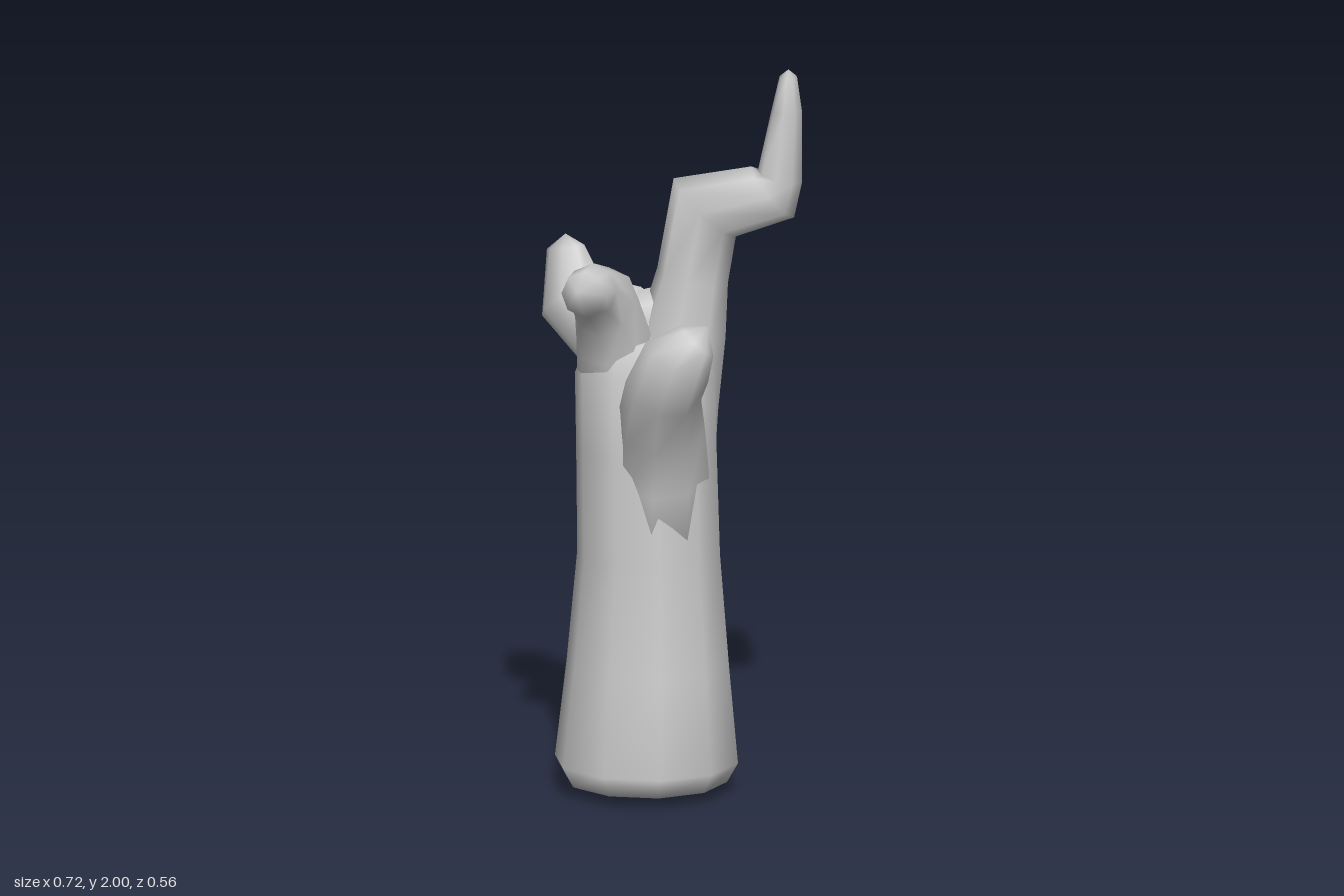
import * as THREE from 'three';

const material = new THREE.MeshStandardMaterial({ color: 0xcccccc });
const V = (a) => new THREE.Vector3(a[0], a[1], a[2]);

// Skins rings [x, y, z, halfAcross, halfAlongRef] that follow a bent path;
// each ring is mitred between its neighbouring segments. Both ends are capped.
function limb(name, rings, ref, sides, start, end) {
  const centers = rings.map(V);
  const path = [V(start), ...centers, V(end)];
  const refV = V(ref);
  const pos = [];
  const index = [];
  rings.forEach((r, i) => {
    const into = path[i + 1].clone().sub(path[i]).normalize();
    const out = path[i + 2].clone().sub(path[i + 1]).normalize();
    if (i === 0) into.copy(out);
    if (i === rings.length - 1) out.copy(into);
    const t = into.add(out).normalize();
    const u = refV.clone().cross(t).normalize();
    const v = t.clone().cross(u);
    for (let j = 0; j < sides; j++) {
      const a = (j / sides) * Math.PI * 2;
      const p = centers[i].clone()
        .addScaledVector(u, r[3] * Math.cos(a))
        .addScaledVector(v, r[4] * Math.sin(a));
      pos.push(p.x, p.y, p.z);
    }
  });
  const first = rings.length * sides;
  const last = (rings.length - 1) * sides;
  pos.push(...start, ...end);
  for (let j = 0; j < sides; j++) {
    const k = (j + 1) % sides;
    for (let i = 0; i < rings.length - 1; i++) {
      const a = i * sides;
      const b = a + sides;
      index.push(a + j, a + k, b + k, a + j, b + k, b + j);
    }
    index.push(first, k, j, first + 1, last + j, last + k);
  }
  const geometry = new THREE.BufferGeometry();
  geometry.setAttribute('position', new THREE.Float32BufferAttribute(pos, 3));
  geometry.setIndex(index);
  geometry.computeVertexNormals();
  const mesh = new THREE.Mesh(geometry, material);
  mesh.name = name;
  return mesh;
}

export function createModel() {
  const group = new THREE.Group();
  group.name = 'deadTree';

  // Trunk: flared foot with a shallow pointed base, slight waist, low crown
  group.add(limb('trunk', [
    [-0.058, 0.03, -0.04, 0.22, 0.215],
    [-0.058, 0.085, -0.04, 0.25, 0.25],
    [-0.055, 0.35, -0.045, 0.222, 0.22],
    [-0.053, 0.66, -0.045, 0.195, 0.19],
    [-0.06, 0.95, -0.05, 0.192, 0.187],
    [-0.065, 1.15, -0.06, 0.192, 0.175],
    [-0.065, 1.22, -0.08, 0.165, 0.14],
  ], [0, 0, 1], 10, [-0.058, 0, -0.04], [-0.065, 1.25, -0.1]));

  // Tall crooked branch: up, sideways, then up to a blunt point
  group.add(limb('tallBranch', [
    [-0.04, 0.8, -0.075, 0.155, 0.14],
    [-0.005, 1.08, -0.1, 0.135, 0.125],
    [0.03, 1.27, -0.11, 0.118, 0.108],
    [0.057, 1.42, -0.105, 0.098, 0.085],
    [0.09, 1.61, -0.105, 0.115, 0.075],
    [0.275, 1.66, -0.11, 0.09, 0.07],
    [0.295, 1.705, -0.11, 0.062, 0.065],
    [0.313, 1.89, -0.115, 0.041, 0.055],
    [0.316, 1.98, -0.12, 0.024, 0.036],
  ], [0, 0, 1], 8, [-0.04, 0.75, -0.075], [0.316, 2, -0.12]));

  // Front branch on the right side, bending forward
  group.add(limb('frontRightBranch', [
    [-0.13, 1.05, -0.06, 0.11, 0.12],
    [-0.145, 1.25, -0.04, 0.13, 0.105],
    [-0.16, 1.37, 0.035, 0.11, 0.085],
    [-0.18, 1.425, 0.125, 0.075, 0.072],
    [-0.188, 1.435, 0.205, 0.062, 0.062],
  ], [1, 0, 0], 8, [-0.13, 1.0, -0.06], [-0.2, 1.45, 0.245]));

  // Front stub on the left side, swelling out of the trunk face
  group.add(limb('frontLeftStub', [
    [-0.02, 0.68, -0.03, 0.15, 0.13],
    [-0.01, 0.9, 0.0, 0.155, 0.13],
    [0.0, 1.05, 0.07, 0.125, 0.12],
    [0.025, 1.17, 0.175, 0.095, 0.105],
    [0.068, 1.26, 0.208, 0.073, 0.1],
    [0.122, 1.32, 0.202, 0.05, 0.06],
  ], [1, 0, 0], 8, [-0.02, 0.6, -0.03], [0.15, 1.36, 0.2]));

  // Short thick stub at the back on the right side
  group.add(limb('backStub', [
    [-0.06, 1.15, -0.1, 0.17, 0.115],
    [-0.17, 1.265, -0.135, 0.135, 0.11],
    [-0.288, 1.325, -0.185, 0.098, 0.078],
    [-0.308, 1.455, -0.212, 0.052, 0.048],
  ], [0, 0, 1], 8, [-0.04, 1.13, -0.1], [-0.31, 1.49, -0.22]));

  // Saddle where the upper branches run together
  group.add(limb('branchSaddle', [
    [-0.16, 1.25, -0.11, 0.11, 0.09],
    [-0.07, 1.27, -0.12, 0.1, 0.085],
    [0.03, 1.29, -0.11, 0.11, 0.085],
  ], [0, 0, 1], 8, [-0.2, 1.25, -0.11], [0.06, 1.29, -0.11]));

  return group;
}
